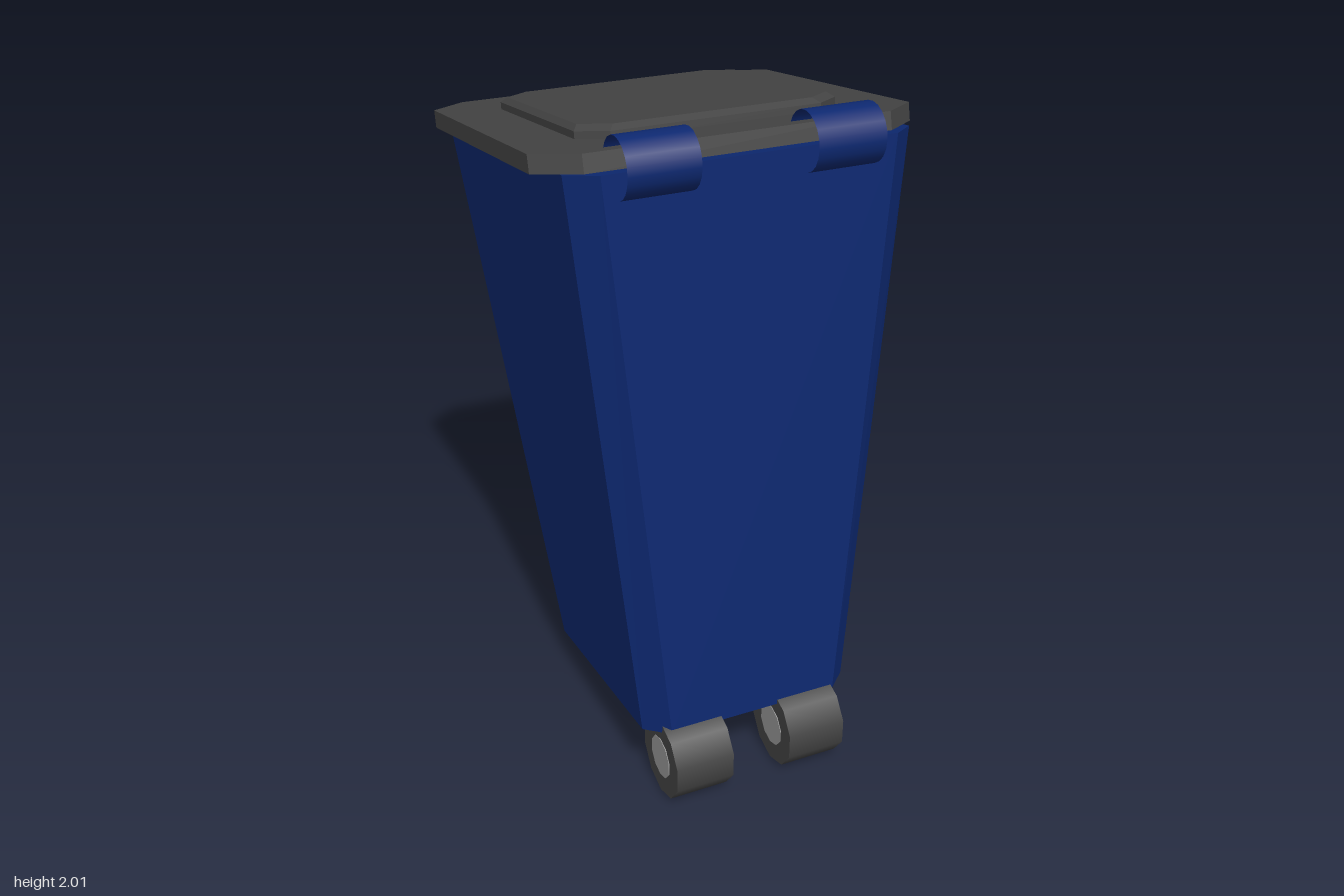
import * as THREE from 'three';

const blue = new THREE.MeshStandardMaterial({ color: 0x0d2870, flatShading: true });
const dark = new THREE.MeshStandardMaterial({ color: 0x444444, flatShading: true });
const tyre = new THREE.MeshStandardMaterial({ color: 0x444444 });
const hubGrey = new THREE.MeshStandardMaterial({ color: 0x999999 });
const hingeBlue = new THREE.MeshStandardMaterial({ color: 0x0d2870, side: THREE.DoubleSide });

// Closed solid through chamfered rectangles, listed from bottom to top.
// Each ring: half width hw, z from z0 to z1, chamfer cx by cz, on the plane y = y0 + slope * z.
function loft(name, rings, material) {
  const positions = [];
  const index = [];
  for (const { hw, z0, z1, cx, cz, y0, slope, x0 = 0 } of rings) {
    const right = [[hw - cx, z1], [hw, z1 - cz], [hw, z0 + cz], [hw - cx, z0]];
    const left = right.map(([x, z]) => [-x, z]).reverse();
    for (const [x, z] of [...right, ...left]) positions.push(x0 + x, y0 + slope * z, z);
  }
  const last = (rings.length - 1) * 8;
  for (let r = 0; r < last; r += 8) {
    for (let i = 0; i < 8; i++) {
      const j = (i + 1) % 8;
      index.push(r + i, r + j, r + 8 + j, r + i, r + 8 + j, r + 8 + i);
    }
  }
  for (let i = 1; i < 7; i++) {
    index.push(0, i + 1, i, last, last + i, last + i + 1);
  }
  const indexed = new THREE.BufferGeometry();
  indexed.setAttribute('position', new THREE.Float32BufferAttribute(positions, 3));
  indexed.setIndex(index);
  const geometry = indexed.toNonIndexed();
  geometry.computeVertexNormals();
  const mesh = new THREE.Mesh(geometry, material);
  mesh.name = name;
  return mesh;
}

// Cylinder lying along x
function roller(name, radius, length, sides, material, open = false) {
  const geometry = new THREE.CylinderGeometry(radius, radius, length, sides, 1, open);
  geometry.rotateY(Math.PI / 2).rotateZ(Math.PI / 2);
  const mesh = new THREE.Mesh(geometry, material);
  mesh.name = name;
  return mesh;
}

export function createModel() {
  const group = new THREE.Group();
  group.name = 'wheeledBin';

  // Tapered body with sloping floor and rim
  group.add(loft('body', [
    { hw: 0.33, z0: -0.245, z1: 0.548, cx: 0.066, cz: 0.066, y0: 0.147, slope: 0.132, x0: 0.014 },
    { hw: 0.49, z0: -0.64, z1: 0.465, cx: 0.075, cz: 0.067, y0: 1.842, slope: 0.145, x0: 0.014 },
  ], blue));

  // Lid slab and its raised panel
  const lid = { hw: 0.54, cx: 0.11, cz: 0.088, slope: 0.145 };
  group.add(loft('lid', [
    { ...lid, z0: -0.578, z1: 0.432, y0: 1.844 },
    { ...lid, z0: -0.588, z1: 0.42, y0: 1.894 },
  ], dark));
  const panel = { hw: 0.376, cx: 0.076, cz: 0.06, slope: 0.145 };
  group.add(loft('lidPanel', [
    { ...panel, z0: -0.434, z1: 0.285, y0: 1.888 },
    { ...panel, z0: -0.438, z1: 0.281, y0: 1.914 },
    { ...panel, hw: 0.36, z0: -0.425, z1: 0.258, y0: 1.928 },
  ], dark));

  for (const side of [-1, 1]) {
    const sideName = side > 0 ? 'left' : 'right';

    // Hollow hinge sleeves
    const hinge = roller(sideName + 'Hinge', 0.081, 0.196, 20, hingeBlue, true);
    hinge.position.set(side * 0.2585 - 0.002, 1.919, 0.453);
    group.add(hinge);

    // Wheels with a hub showing at both ends
    const wheel = new THREE.Group();
    wheel.name = sideName + 'Wheel';
    wheel.add(roller('tyre', 0.125, 0.18, 10, tyre), roller('hub', 0.065, 0.184, 10, hubGrey));
    wheel.position.set(side * 0.182, 0.119, 0.515);
    group.add(wheel);
  }
  return group;
}
